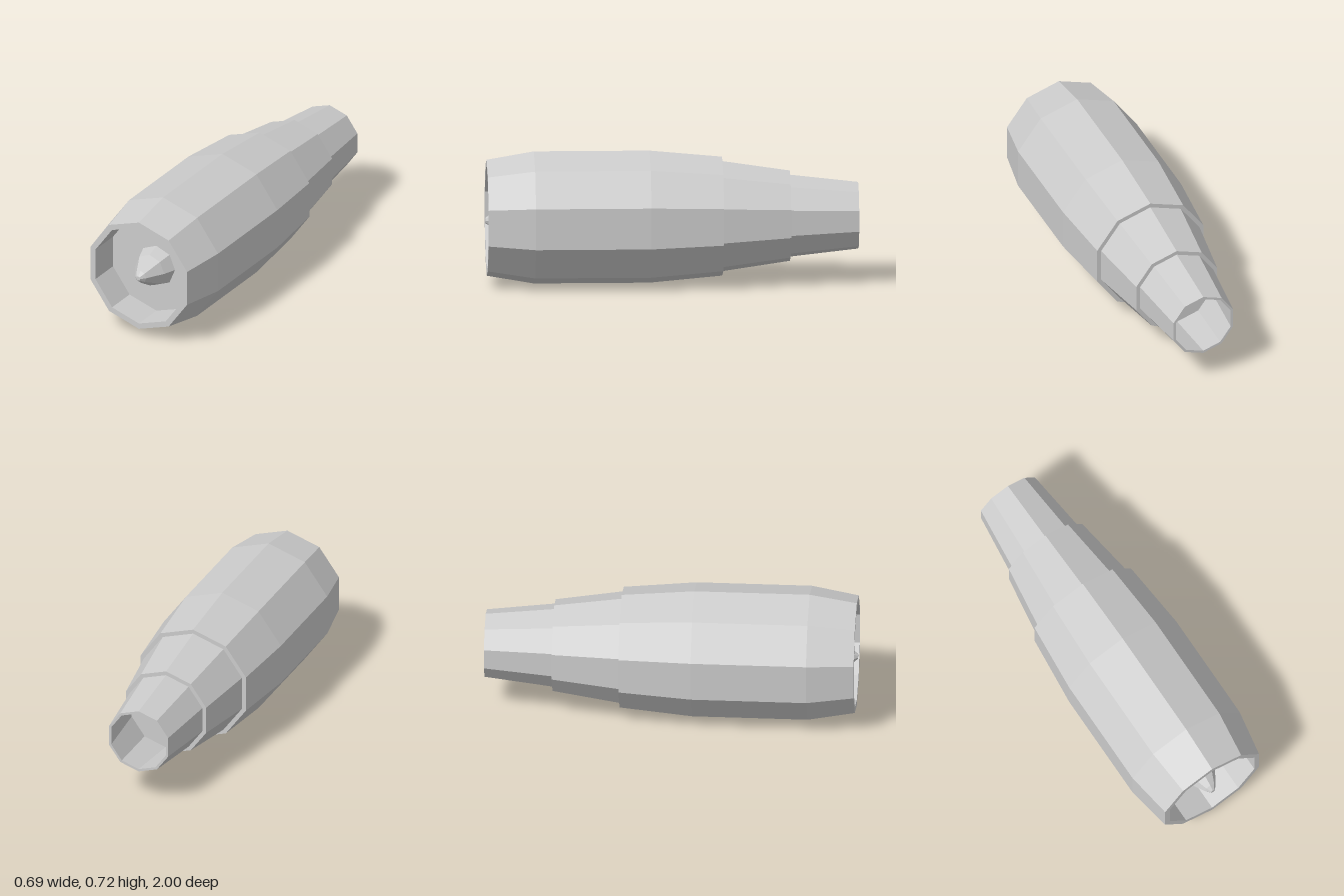
import * as THREE from 'three';

const material = new THREE.MeshStandardMaterial({ color: 0xcccccc, flatShading: true });

// Faceted body of revolution along z; profile pairs are [radius, z], outside walls running back to front
function turned(name, profile, sides, y) {
  const points = profile.map(([r, z]) => new THREE.Vector2(r, z));
  const geometry = new THREE.LatheGeometry(points, sides).rotateX(Math.PI / 2);
  const mesh = new THREE.Mesh(geometry, material);
  mesh.name = name;
  mesh.position.y = y;
  return mesh;
}

export function createModel() {
  const engine = new THREE.Group();
  engine.name = 'jetEngine';
  const axisY = 0.363;

  // Main cowling with a recessed intake at the front
  engine.add(turned('cowling', [
    [0, -0.27], [0.325, -0.27], [0.361, 0.12], [0.361, 0.74], [0.317, 0.993],
    [0.285, 0.993], [0.285, 0.81], [0, 0.81],
  ], 10, axisY));

  // Tapered middle section, stepped in from the cowling
  engine.add(turned('middleSection', [
    [0, -0.633], [0.247, -0.633], [0.301, -0.27],
  ], 10, axisY));

  // Hollow exhaust nozzle
  engine.add(turned('exhaustNozzle', [
    [0, -0.64], [0.208, -0.64], [0.168, -1], [0.182, -1], [0.224, -0.633],
  ], 10, axisY));

  // Blunt-tipped spinner inside the intake
  engine.add(turned('spinner', [
    [0.116, 0.81], [0.091, 0.88], [0.035, 0.975], [0.013, 1], [0, 1],
  ], 8, 0.349));

  return engine;
}
